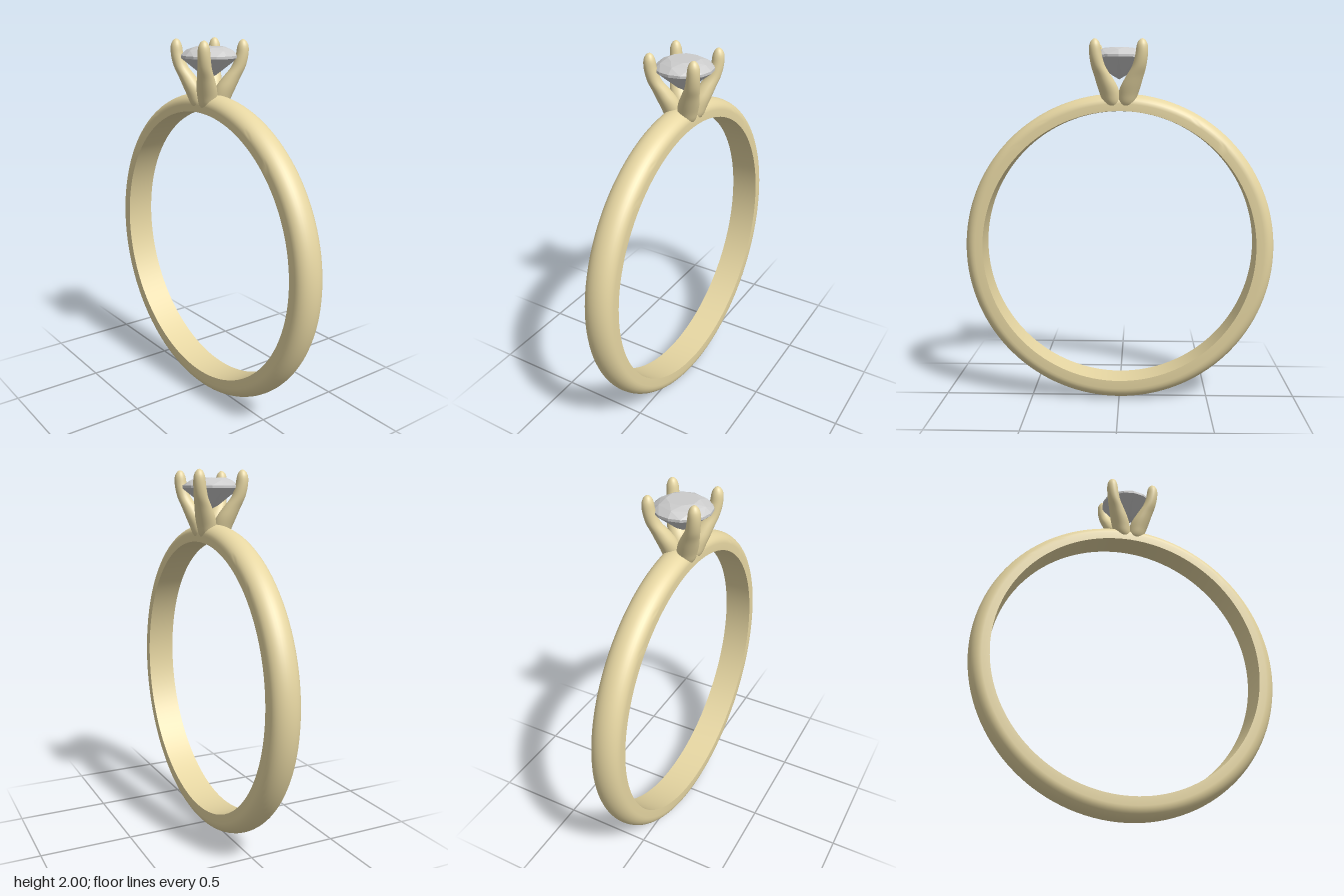
import * as THREE from 'three';
import { mergeVertices, toCreasedNormals } from 'three/addons/utils/BufferGeometryUtils.js';
import { ConvexGeometry } from 'three/addons/geometries/ConvexGeometry.js';

const gold = new THREE.MeshStandardMaterial({ color: 0xe6d6a2 });
const grey = new THREE.MeshStandardMaterial({ color: 0xcccccc });

function addMesh(parent, name, geometry, material) {
  const mesh = new THREE.Mesh(geometry, material);
  mesh.name = name;
  parent.add(mesh);
  return mesh;
}

// Band: D-shaped section turned about z, a little heavier at the bottom
function bandGeometry() {
  const inner = 0.755, thick = 0.105, side = 0.042, half = 0.08;
  const profile = [new THREE.Vector2(inner, -half)];
  for (let i = 0; i <= 16; i++) {
    const a = -Math.PI / 2 + (Math.PI * i) / 16;
    profile.push(new THREE.Vector2(inner + side + (thick - side) * Math.cos(a), half * Math.sin(a)));
  }
  profile.push(new THREE.Vector2(inner, half), new THREE.Vector2(inner, -half));
  const geo = new THREE.LatheGeometry(profile, 128);
  geo.rotateX(Math.PI / 2);
  const p = geo.attributes.position;
  for (let i = 0; i < p.count; i++) {
    const x = p.getX(i), y = p.getY(i), r = Math.hypot(x, y);
    const low = -y / r; // +1 at the bottom, -1 at the top
    const k = (inner + (r - inner) * (1 + 0.095 * low)) / r;
    p.setXYZ(i, x * k, y * k, p.getZ(i) * (1 + 0.05 * low));
  }
  geo.translate(0, 0.87, 0);
  return toCreasedNormals(geo, 0.7);
}

// Prong: stations of (offset from the axis, height, radius), leaning outwards along a diagonal
function prongGeometry() {
  const stations = [
    [0.034, 1.637, 0], [0.036, 1.645, 0.03], [0.039, 1.665, 0.045], [0.048, 1.71, 0.052],
    [0.062, 1.755, 0.053], [0.083, 1.805, 0.046], [0.108, 1.86, 0.037], [0.121, 1.92, 0.033],
    [0.124, 1.965, 0.029], [0.124, 1.988, 0.019], [0.124, 1.997, 0.009], [0.124, 2, 0],
  ].map((s) => new THREE.Vector3(...s));
  const pts = new THREE.CatmullRomCurve3(stations).getPoints(44);
  const geo = new THREE.LatheGeometry(pts.map((s) => new THREE.Vector2(Math.max(s.z, 0), s.y)), 24);
  const p = geo.attributes.position;
  for (let i = 0; i < p.count; i++) {
    const d = pts[i % pts.length].x;
    p.setX(i, p.getX(i) + d);
    p.setZ(i, p.getZ(i) + d);
  }
  geo.deleteAttribute('uv');
  geo.deleteAttribute('normal');
  const smooth = mergeVertices(geo, 1e-5);
  smooth.computeVertexNormals();
  return smooth;
}

// Gem: round brilliant cut, as the hull of its facet corners
function gemGeometry() {
  const pts = [new THREE.Vector3(0, 1.795, 0)];
  const ring = (count, radius, y, turn) => {
    for (let i = 0; i < count; i++) {
      const a = ((i + turn) / count) * Math.PI * 2;
      pts.push(new THREE.Vector3(radius * Math.cos(a), y, radius * Math.sin(a)));
    }
  };
  ring(8, 0.082, 1.96, 0.5); // table
  ring(8, 0.122, 1.944, 0); // crown mains
  ring(16, 0.152, 1.918, 0); // girdle
  ring(16, 0.152, 1.905, 0);
  ring(8, 0.042, 1.818, 0.5); // pavilion
  return new ConvexGeometry(pts);
}

export function createModel() {
  const model = new THREE.Group();
  model.name = 'ring';
  addMesh(model, 'band', bandGeometry(), gold);

  const setting = new THREE.Group();
  setting.name = 'setting';
  model.add(setting);
  const prong = prongGeometry();
  for (let i = 0; i < 4; i++) {
    addMesh(setting, 'prong', prong, gold).rotation.y = (i * Math.PI) / 2;
  }

  const gem = addMesh(model, 'gem', gemGeometry(), grey.clone());
  gem.material.flatShading = true;
  return model;
}
